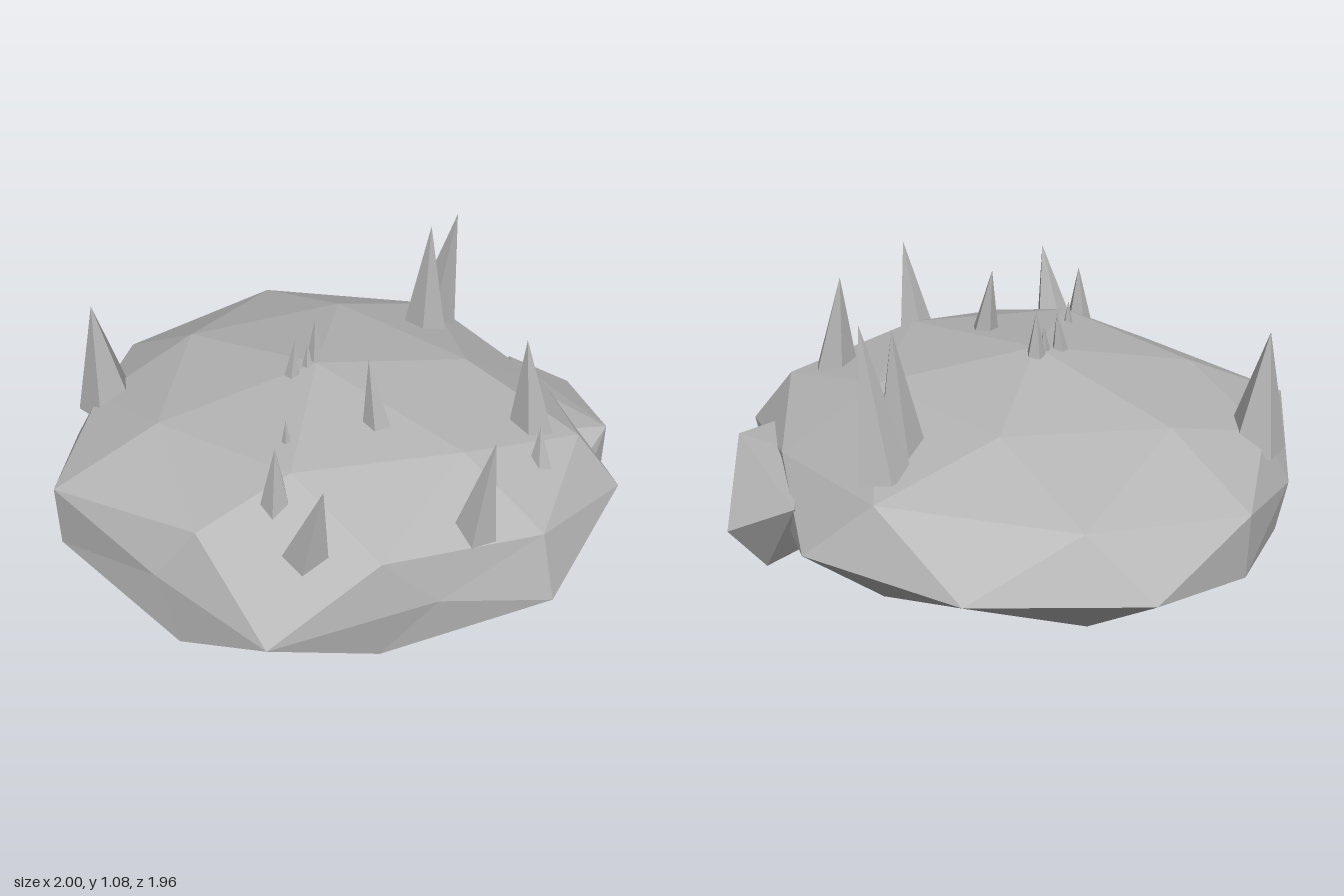
import * as THREE from 'three';
import { ConvexGeometry } from 'three/addons/geometries/ConvexGeometry.js';

const V = (p) => new THREE.Vector3(...p);

// Squashed faceted boulder; the listed points pull their nearest corner into place.
function boulderGeometry() {
  const geo = new THREE.IcosahedronGeometry(1, 1);
  geo.rotateY(Math.PI / 2).scale(1.09, 0.4, 0.98).translate(-0.09, 0.36, 0);
  const pos = geo.attributes.position;
  const base = [];
  for (let i = 0; i < pos.count; i++) base.push(new THREE.Vector3().fromBufferAttribute(pos, i));
  const dents = [
    [-0.09, 0.78, 0], [-0.09, 0, 0], [-1, 0.36, 0],
    [0.42, 0.69, -0.23], [-0.6, 0.66, 0.27], [-0.61, 0.67, -0.27],
    [-0.38, 0.54, 0.67], [0.24, 0.56, 0.75], [0.24, 0.16, 0.75],
    [0.42, 0.36, 0.68], [-0.52, 0.36, 0.70],
    [0.74, 0.48, 0.44], [0.71, 0.48, -0.42], [0.72, 0.24, -0.44],
    [-0.93, 0.48, 0.46], [-0.93, 0.24, 0.46], [-0.9, 0.48, -0.44], [-0.9, 0.24, -0.44],
    [-0.9, 0.55, 0], [-0.97, 0.16, 0], [0.72, 0.13, 0],
    [-0.58, 0.07, 0.3], [0.25, 0.17, -0.73], [-0.43, 0.17, -0.73],
  ];
  for (const d of dents) {
    const target = V(d);
    const nearest = base.reduce((a, b) => (b.distanceTo(target) < a.distanceTo(target) ? b : a));
    base.forEach((p, i) => {
      if (p.distanceTo(nearest) < 1e-3) pos.setXYZ(i, ...d);
    });
  }
  geo.computeVertexNormals();
  return geo;
}

// Narrow five-sided spike leaning from its foot to its tip.
function spikeGeometry(foot, tip, radius) {
  const axis = tip.clone().sub(foot);
  const geo = new THREE.ConeGeometry(radius, axis.length(), 5);
  geo.applyQuaternion(new THREE.Quaternion().setFromUnitVectors(new THREE.Vector3(0, 1, 0), axis.normalize()));
  const mid = foot.clone().add(tip).multiplyScalar(0.5);
  return geo.translate(mid.x, mid.y, mid.z);
}

export function createModel() {
  const group = new THREE.Group();
  group.name = 'spikedRock';
  const stone = new THREE.MeshStandardMaterial({ color: 0xb4b4b4 });
  stone.name = 'grey stone';
  stone.flatShading = true;
  const add = (name, geo) => {
    const mesh = new THREE.Mesh(geo, stone);
    mesh.name = name;
    group.add(mesh);
  };

  add('boulder', boulderGeometry());

  // Smaller rock sunk into the side
  add('sideRock', new ConvexGeometry([
    [0.81, 0.31, -0.69], [0.95, 0.43, -0.25], [0.95, 0.21, -0.25], [0.8, 0.47, -0.16],
    [0.65, 0.48, -0.4], [0.57, 0.42, -0.67], [0.75, 0.08, -0.54], [0.8, 0.14, -0.07],
    [0.87, 0.26, -0.02], [0.89, 0.4, -0.12], [0.5, 0.2, -0.4],
  ].map(V)));

  // Spikes: foot, tip, foot radius
  const spikes = [
    [[-0.87, 0.5, -0.02], [-0.89, 0.93, -0.01], 0.11],
    [[-0.17, 0.7, 0.05], [-0.155, 0.9, 0.04], 0.04],
    [[-0.1, 0.72, -0.04], [-0.1, 0.93, -0.04], 0.045],
    [[-0.12, 0.7, 0.01], [-0.12, 0.86, 0], 0.035],
    [[0.16, 0.66, 0.23], [0.12, 0.96, 0.21], 0.06],
    [[-0.13, 0.67, 0.37], [-0.13, 0.8, 0.37], 0.025],
    [[-0.13, 0.58, 0.58], [-0.125, 0.85, 0.58], 0.06],
    [[-0.01, 0.51, 0.7], [0.06, 0.85, 0.77], 0.085],
    [[0.5, 0.44, 0.5], [0.56, 0.91, 0.53], 0.095],
    [[0.67, 0.56, 0.02], [0.63, 0.96, 0.02], 0.09],
    [[0.71, 0.53, 0.18], [0.7, 0.71, 0.16], 0.05],
    [[0.26, 0.58, -0.65], [0.34, 1.08, -0.59], 0.095],
    [[0.24, 0.62, -0.53], [0.25, 1.05, -0.54], 0.085],
  ];
  spikes.forEach(([foot, tip, r], i) => add(`spike${i + 1}`, spikeGeometry(V(foot), V(tip), r)));

  return group;
}
